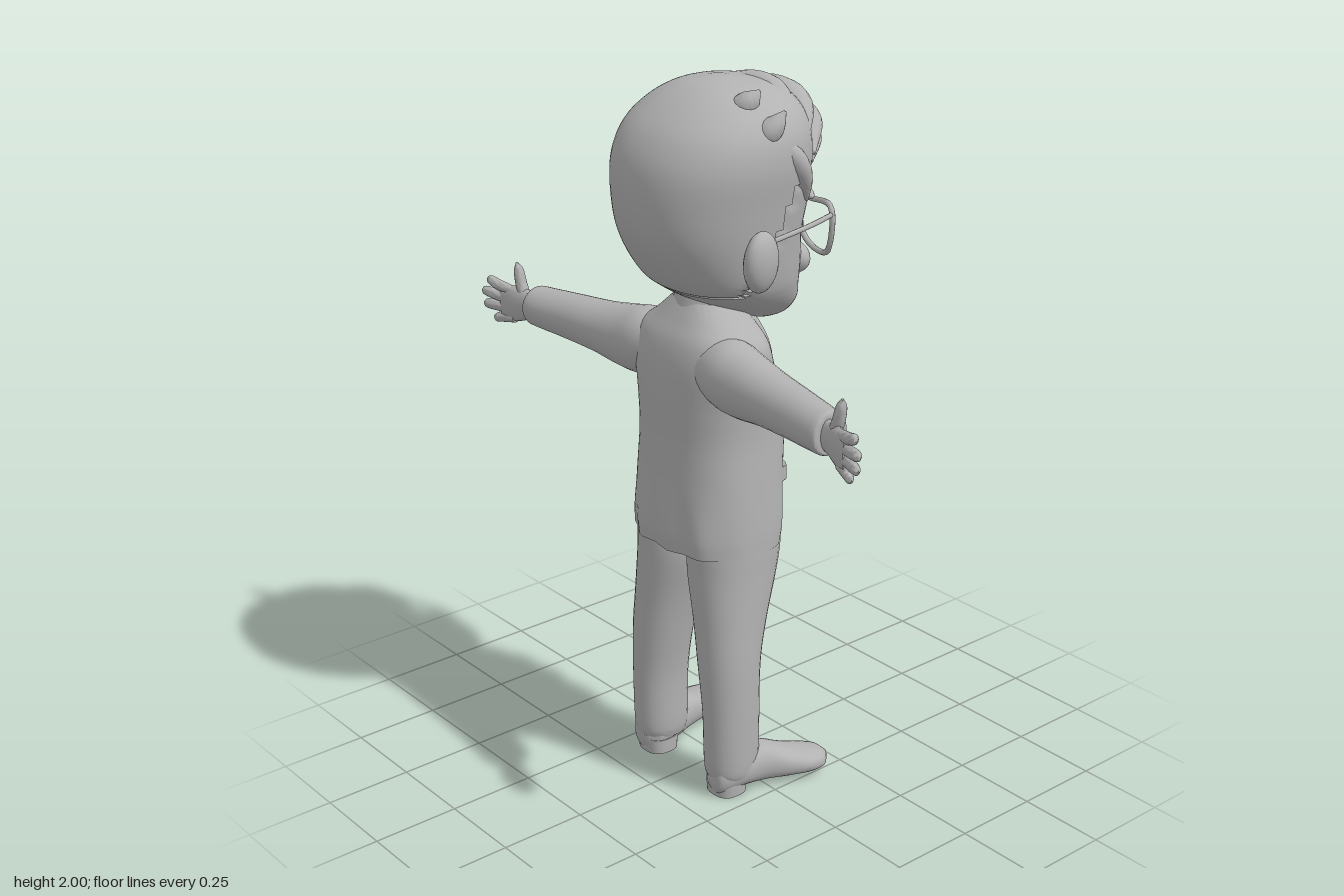
import * as THREE from 'three';
import { toCreasedNormals } from 'three/addons/utils/BufferGeometryUtils.js';

const V = (x, y, z) => new THREE.Vector3(x, y, z);
const X = V(1, 0, 0), Y = V(0, 1, 0), Z = V(0, 0, 1);
const clay = new THREE.MeshStandardMaterial({ color: 0xb2b2b2, side: THREE.DoubleSide });
clay.name = 'clay grey';

function add(parent, name, geo) {
  const m = new THREE.Mesh(geo, clay);
  m.name = name;
  parent.add(m);
  return m;
}

// Smoothly resample rows of [x, y, z, radiusU, radiusV]
function sample(rows, n) {
  const c = new THREE.CatmullRomCurve3(rows.map(r => V(r[0], r[1], r[2])), false, 'catmullrom', 0.5);
  const s = new THREE.CatmullRomCurve3(rows.map(r => V(r[3], r[4], 0)), false, 'catmullrom', 0.5);
  return Array.from({ length: n + 1 }, (_, i) => {
    const p = c.getPoint(i / n), q = s.getPoint(i / n);
    return { p, ru: Math.max(q.x, 0.001), rv: Math.max(q.y, 0.001), t: c.getTangent(i / n) };
  });
}

// Superellipse rings along the rows; with no axis the rings follow the path
function loft(rows, { axis, up = Y, p = 2, seg = 28, n = rows.length * 4, tweak, caps = true } = {}) {
  const pos = [], idx = [], rings = sample(rows, n);
  for (const r of rings) {
    const t = axis || r.t;
    const u = V(0, 0, 0).crossVectors(t, up).normalize();
    const v = V(0, 0, 0).crossVectors(u, t).normalize();
    for (let j = 0; j < seg; j++) {
      const a = j / seg * Math.PI * 2, c = Math.cos(a), s = Math.sin(a);
      const q = r.p.clone()
        .addScaledVector(u, Math.sign(c) * Math.abs(c) ** (2 / p) * r.ru)
        .addScaledVector(v, Math.sign(s) * Math.abs(s) ** (2 / p) * r.rv);
      if (tweak) tweak(q, r);
      pos.push(q.x, q.y, q.z);
    }
  }
  for (let i = 0; i < n; i++) for (let j = 0; j < seg; j++) {
    const a = i * seg + j, b = i * seg + (j + 1) % seg;
    idx.push(a, b, b + seg, a, b + seg, a + seg);
  }
  if (caps) for (const [i, flip] of [[0, true], [n, false]]) {
    const k = pos.length / 3, o = rings[i].p;
    pos.push(o.x, o.y, o.z);
    for (let j = 0; j < seg; j++) {
      const a = i * seg + j, b = i * seg + (j + 1) % seg;
      flip ? idx.push(k, b, a) : idx.push(k, a, b);
    }
  }
  const g = new THREE.BufferGeometry();
  g.setAttribute('position', new THREE.Float32BufferAttribute(pos, 3));
  g.setIndex(idx);
  return toCreasedNormals(g, 1.0);
}

// Rows of [y, back z, face-side z, half width]
const body = rows => rows.map(([y, b, f, w]) => [0, y, (b + f) / 2, w, (b - f) / 2]);
const torsoRows = body([[0.735, 0.205, -0.12, 0.215], [0.8, 0.21, -0.135, 0.213], [0.95, 0.2, -0.142, 0.203],
  [1.05, 0.197, -0.148, 0.196], [1.15, 0.198, -0.125, 0.198], [1.25, 0.195, -0.095, 0.208],
  [1.32, 0.178, -0.07, 0.2], [1.37, 0.15, -0.05, 0.14], [1.42, 0.12, -0.03, 0.085]]);
const headRows = body([[1.335, -0.1, -0.17, 0.05], [1.36, -0.02, -0.205, 0.105], [1.4, 0.06, -0.218, 0.15],
  [1.45, 0.15, -0.21, 0.187], [1.5, 0.208, -0.21, 0.205], [1.6, 0.266, -0.215, 0.222], [1.7, 0.284, -0.225, 0.236],
  [1.8, 0.275, -0.23, 0.248], [1.88, 0.235, -0.22, 0.235], [1.94, 0.17, -0.19, 0.19],
  [1.98, 0.1, -0.13, 0.12], [1.998, 0.03, -0.03, 0.03]]);

// Raised panel lying on the chest, between two outline curves of [x, y] points
const torsoFine = sample(torsoRows, 120);
function chestZ(x, y) {
  const r = torsoFine.reduce((a, b) => Math.abs(b.p.y - y) < Math.abs(a.p.y - y) ? b : a);
  return r.p.z - r.rv * Math.max(0, 1 - Math.abs(x / r.ru) ** 2.5) ** 0.4;
}
function panel(left, right, lift) {
  const curve = pts => new THREE.CatmullRomCurve3(pts.map(q => V(q[0], q[1], 0)));
  const a = curve(left), b = curve(right), n = 16, m = 6;
  const g = new THREE.PlaneGeometry(1, 1, m, n), P = g.attributes.position;
  for (let i = 0; i <= n; i++) for (let j = 0; j <= m; j++) {
    const q = a.getPoint(i / n).lerp(b.getPoint(i / n), j / m);
    const edge = j === 0 || j === m || i === 0 || i === n;
    P.setXYZ(i * (m + 1) + j, q.x, q.y, chestZ(q.x, q.y) - (edge ? -0.004 : lift));
  }
  g.computeVertexNormals();
  return g;
}

const tube = (pts, r, closed = false) =>
  new THREE.TubeGeometry(new THREE.CatmullRomCurve3(pts.map(p => V(...p)), closed), 40, r, 8, closed);
const bump = (q, x, y, w, h) => Math.exp(-(((q.x - x) / w) ** 2) - ((q.y - y) / h) ** 2);

function blob(parent, name, c, s) {
  const m = add(parent, name, new THREE.SphereGeometry(1, 24, 16));
  m.position.set(...c);
  m.scale.set(...s);
  return m;
}

// Height of the hairline: low at the nape, high above the forehead
const hairline = z => 1.46 + 0.31 * THREE.MathUtils.smoothstep(-z, -0.09, 0.13);
const inset = (q, r, d) => {
  const v = V(q.x - r.p.x, 0, q.z - r.p.z);
  q.addScaledVector(v.normalize(), -d);
};

function makeHead() {
  const g = new THREE.Group();
  g.name = 'head';
  add(g, 'face', loft(headRows, {
    axis: Y, up: Z, p: 2.25, seg: 64, n: 70, tweak(q, r) {
      if (q.y > hairline(q.z)) inset(q, r, Math.min(0.012, r.ru * 0.3));
      if (q.z < -0.05) {
        for (const s of [-1, 1]) q.z += 0.028 * bump(q, s * 0.095, 1.6, 0.055, 0.04);
        q.z += 0.022 * bump(q, 0, 1.452, 0.08, 0.014) - 0.012 * bump(q, 0, 1.69, 0.14, 0.03);
      }
    },
  }));
  add(g, 'hair', loft(headRows, {
    axis: Y, up: Z, p: 2.25, seg: 64, n: 70,
    tweak(q, r) { if (q.y < hairline(q.z)) inset(q, r, Math.min(0.035, r.ru * 0.5)); },
  }));
  // Swept locks: start, two middle points, tip, thickness
  const locks = [
    [[-0.18, 1.81, -0.13], [-0.06, 1.865, -0.22], [0.07, 1.86, -0.235], [0.18, 1.8, -0.17], 0.05],
    [[-0.17, 1.87, -0.07], [-0.05, 1.915, -0.175], [0.08, 1.91, -0.19], [0.2, 1.85, -0.13], 0.052],
    [[-0.12, 1.93, 0], [-0.01, 1.95, -0.105], [0.1, 1.94, -0.11], [0.19, 1.89, -0.06], 0.045],
    [[-0.1, 1.81, -0.19], [0.0, 1.83, -0.24], [0.09, 1.82, -0.24], [0.15, 1.77, -0.19], 0.032],
    [[0.08, 1.91, 0.06], [0.13, 1.94, 0.04], [0.155, 1.965, 0.025], [0.172, 1.99, 0.01], 0.032],
    [[0.16, 1.84, 0.04], [0.2, 1.88, 0.02], [0.22, 1.91, 0], [0.235, 1.945, -0.02], 0.032],
    [[-0.19, 1.9, 0.02], [-0.21, 1.85, -0.05], [-0.215, 1.78, -0.1], [-0.2, 1.7, -0.13], 0.035],
    [[0.2, 1.88, 0.0], [0.22, 1.82, -0.06], [0.215, 1.76, -0.1], [0.2, 1.69, -0.13], 0.03],
  ];
  locks.forEach(([a, b, c, d, r]) => add(g, 'hairLock', loft(
    [[...a, r * 0.5, r * 0.5], [...b, r, r], [...c, r * 0.9, r * 0.85], [...d, 0.004, 0.004]],
    { up: V(0.1, 1, 0.15), seg: 16, n: 18 })));
  blob(g, 'noseTip', [0, 1.555, -0.24], [0.042, 0.036, 0.042]);
  blob(g, 'noseBridge', [0, 1.6, -0.222], [0.024, 0.05, 0.026]);
  blob(g, 'upperLip', [0, 1.482, -0.198], [0.09, 0.022, 0.03]);
  blob(g, 'lowerLip', [0, 1.43, -0.2], [0.06, 0.016, 0.026]);
  blob(g, 'chin', [0, 1.385, -0.18], [0.08, 0.045, 0.042]);
  for (const s of [-1, 1]) {
    blob(g, 'ear', [s * 0.24, 1.57, 0.06], [0.036, 0.083, 0.062]).rotation.set(0.12, s * 0.25, s * -0.1);
    blob(g, 'eye', [s * 0.095, 1.6, -0.172], [0.038, 0.028, 0.022]);
    blob(g, 'cheek', [s * 0.105, 1.51, -0.165], [0.06, 0.045, 0.04]);
    blob(g, 'eyebrow', [s * 0.105, 1.685, -0.205], [0.06, 0.014, 0.018]).rotation.set(0, s * -0.35, s * -0.12);
    // Glasses rim and side arm
    const rim = [[0.03, 1.635], [0.1, 1.648], [0.185, 1.655], [0.205, 1.635], [0.195, 1.56],
      [0.165, 1.52], [0.075, 1.52], [0.04, 1.55]].map(([x, y]) => [s * x, y, -0.262 + 1.1 * x * x]);
    add(g, 'glassesRim', tube(rim, 0.008, true));
    add(g, 'glassesArm', tube([[s * 0.203, 1.635, -0.217], [s * 0.225, 1.63, -0.13], [s * 0.238, 1.615, 0.03]], 0.007));
  }
  add(g, 'glassesBridge', tube([[-0.033, 1.615, -0.26], [0, 1.625, -0.268], [0.033, 1.615, -0.26]], 0.007));
  return g;
}

function makeHand(s) {
  const g = new THREE.Group();
  g.name = 'hand';
  const z = x => 0.168 + (x - 0.6) * (s > 0 ? 0.36 : 0.3) - (s > 0 ? 0 : 0.014);
  const P = (x, y, ru, rv, dz = 0) => [s * x, y, z(x) + dz, ru, rv];
  const opts = { axis: X, seg: 16 };
  add(g, 'palm', loft([P(0.59, 1.25, 0.03, 0.04), P(0.64, 1.25, 0.024, 0.045), P(0.69, 1.245, 0.02, 0.054),
    P(0.73, 1.242, 0.014, 0.05)], opts));
  [[0.785, 1.3], [0.803, 1.265], [0.798, 1.228], [0.765, 1.192]].forEach(([x, y], i) => {
    const y0 = 1.28 - i * 0.026;
    add(g, 'finger', loft([P(0.69, y0, 0.013, 0.015), P((x + 0.7) / 2, (y + y0) / 2, 0.014, 0.016),
      P(x - 0.012, y, 0.012, 0.014), P(x, y, 0.003, 0.004)], opts));
  });
  add(g, 'thumb', loft([P(0.645, 1.25, 0.018, 0.018), P(0.67, 1.3, 0.017, 0.017, -0.005),
    P(0.682, 1.345, 0.014, 0.014, -0.008), P(0.688, 1.367, 0.003, 0.003, -0.008)], { up: Z, seg: 14 }));
  return g;
}

export function createModel() {
  const model = new THREE.Group();
  model.name = 'figure';
  model.add(makeHead());
  add(model, 'neck', loft([[0, 1.33, 0.05, 0.1, 0.09], [0, 1.4, 0.045, 0.09, 0.085], [0, 1.48, 0.02, 0.09, 0.09]],
    { axis: Y, up: Z }));

  // Jacket with a cutaway hem
  add(model, 'jacket', loft(torsoRows, {
    axis: Y, up: Z, p: 2.5, seg: 64, caps: false, tweak(q) {
      const low = THREE.MathUtils.smoothstep(0.95 - q.y, 0, 0.2);
      if (q.z < 0) q.y += 0.085 * low * Math.max(0, 1 - Math.abs(q.x) / 0.1);
      q.z += 0.006 * low * Math.sin(q.x * 55);
    },
  }));
  add(model, 'tie', panel([[-0.012, 1.37], [-0.02, 1.33], [-0.012, 1.3], [-0.022, 1.15], [0, 1.06]],
    [[0.012, 1.37], [0.02, 1.33], [0.012, 1.3], [0.022, 1.15], [0.002, 1.06]], 0.012));
  add(model, 'jacketOpening', panel([[-0.004, 1.05], [-0.004, 0.95], [-0.006, 0.87]],
    [[0.006, 1.05], [0.006, 0.95], [0.006, 0.87]], 0.009));
  blob(model, 'button', [0, 1.03, -0.15], [0.012, 0.012, 0.008]);

  for (const s of [-1, 1]) {
    add(model, 'lapel', panel([[s * 0.075, 1.39], [s * 0.06, 1.3], [s * 0.035, 1.17], [0, 1.04]],
      [[s * 0.1, 1.37], [s * 0.125, 1.27], [s * 0.085, 1.17], [s * 0.006, 1.04]], 0.014));
    add(model, 'shirtCollar', panel([[s * 0.02, 1.39], [s * 0.018, 1.36], [s * 0.05, 1.31]],
      [[s * 0.07, 1.4], [s * 0.065, 1.36], [s * 0.055, 1.31]], 0.016));
    add(model, 'pocketFlap', panel([[s * 0.09, 0.93], [s * 0.09, 0.885]], [[s * 0.175, 0.945], [s * 0.175, 0.9]], 0.012));

    // Sleeve
    const dz = x => (s > 0 ? 0 : -0.03 * x);
    const arm = [[0.08, 1.265, 0.09, 0.08, 0.07], [0.17, 1.257, 0.1, 0.09, 0.095], [0.25, 1.25, 0.108, 0.085, 0.09],
      [0.35, 1.25, 0.122, 0.077, 0.075], [0.48, 1.25, 0.142, 0.068, 0.066], [0.58, 1.25, 0.16, 0.063, 0.06],
      [0.62, 1.251, 0.168, 0.056, 0.057], [0.625, 1.251, 0.168, 0.04, 0.045]];
    add(model, 'sleeve', loft(arm.map(([x, y, z, a, b]) => [s * x, y, z + dz(x), a, b]), { axis: X }));
    model.add(makeHand(s));

    // Trouser leg
    const leg = [[0.05, 0.105, 0.082, 0.058, 0.07], [0.09, 0.158, 0.085, 0.066, 0.08], [0.25, 0.157, 0.086, 0.069, 0.083],
      [0.4, 0.145, 0.083, 0.08, 0.089], [0.52, 0.13, 0.067, 0.09, 0.104], [0.66, 0.11, 0.043, 0.105, 0.13],
      [0.76, 0.107, 0.035, 0.105, 0.138], [0.88, 0.095, 0.035, 0.098, 0.13]];
    leg[0][1] = 0.158;
    add(model, 'trouserLeg', loft(leg.map(([y, x, z, a, b]) => [s * x, y, z, a, b]), { axis: Y, up: Z, p: 2.2 }));

    // Shoe turned outward, with a separate heel
    const shoe = [[0.148, 0.055, 0.155, 0.02, 0.03], [0.152, 0.06, 0.135, 0.05, 0.055], [0.163, 0.068, 0.07, 0.06, 0.055],
      [0.182, 0.07, 0.0, 0.055, 0.058], [0.205, 0.056, -0.07, 0.06, 0.044], [0.22, 0.046, -0.13, 0.064, 0.034],
      [0.232, 0.04, -0.178, 0.048, 0.026], [0.238, 0.038, -0.2, 0.012, 0.012]];
    add(model, 'shoe', loft(shoe.map(r => [s * r[0], ...r.slice(1)]), {
      axis: V(s * 0.28, 0, -0.96), p: 2.3,
      tweak(q) { if (q.z < 0.04) q.y = Math.max(q.y, 0.016); },
    }));
    add(model, 'heel', loft([[s * 0.155, 0, 0.1, 0.052, 0.05], [s * 0.155, 0.045, 0.1, 0.054, 0.052]],
      { axis: Y, up: Z, p: 2.6, n: 2 }));
  }
  return model;
}
